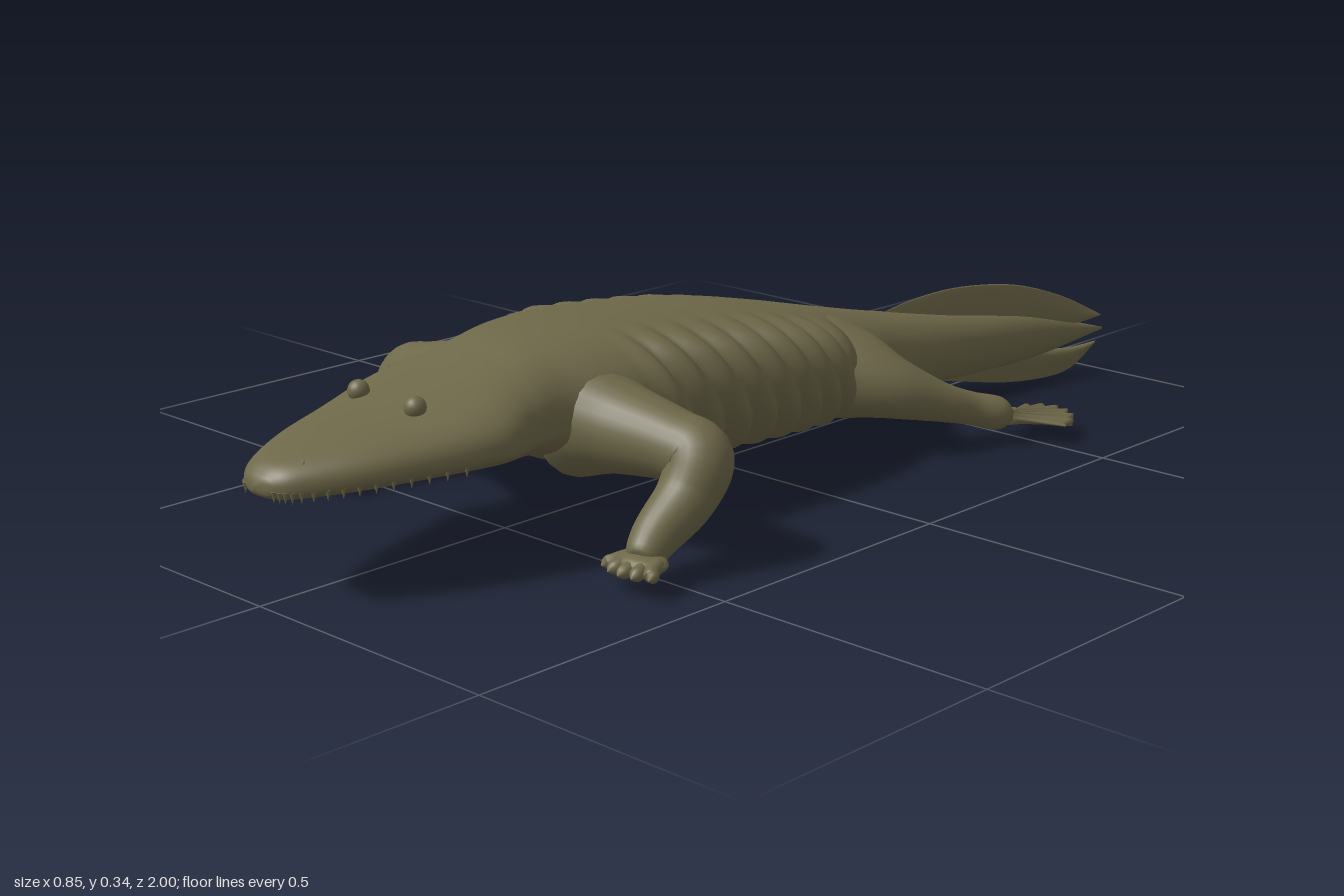
import * as THREE from 'three';

const skin = new THREE.MeshStandardMaterial({ name: 'olive skin', color: 0x6e6849 });
const { smoothstep, lerp } = THREE.MathUtils;
const spow = (v, p) => Math.sign(v) * Math.abs(v) ** p;

// Sideways sweep of the tail
const sweep = z => 0.147 * Math.max((-z - 0.28) / 0.72, 0) ** 1.6;

// Smooth interpolation through the rows of a small table, t in 0..1
function sample(table, t) {
  const n = table.length, s = t * (n - 1), i = Math.min(Math.floor(s), n - 2), f = s - i;
  const a = table[Math.max(i - 1, 0)], b = table[i], c = table[i + 1], d = table[Math.min(i + 2, n - 1)];
  return b.map((_, k) => {
    const m0 = (c[k] - a[k]) / 2, m1 = (d[k] - b[k]) / 2, f2 = f * f, f3 = f2 * f;
    return b[k] * (2 * f3 - 3 * f2 + 1) + m0 * (f3 - 2 * f2 + f) + c[k] * (3 * f2 - 2 * f3) + m1 * (f3 - f2);
  });
}

// Closed skin over rings: point(t, angle) gives [x, y, z]
function loft(rows, cols, point) {
  const pos = [], index = [];
  for (let i = 0; i <= rows; i++)
    for (let j = 0; j < cols; j++) pos.push(...point(i / rows, (j / cols) * Math.PI * 2));
  for (let i = 0; i < rows; i++)
    for (let j = 0; j < cols; j++) {
      const k = (j + 1) % cols, a = i * cols + j, b = a + cols, c = i * cols + k, d = c + cols;
      index.push(a, b, c, c, b, d);
    }
  const g = new THREE.BufferGeometry();
  g.setAttribute('position', new THREE.Float32BufferAttribute(pos, 3));
  g.setIndex(index);
  g.computeVertexNormals();
  return g;
}

// Round limb through rows of [x, y, z, radius]
function limb(table, rows = 48, cols = 24) {
  const at = t => new THREE.Vector3(...sample(table, t).slice(0, 3));
  const rings = [];
  let n = new THREE.Vector3(0, 1, 0);
  for (let i = 0; i <= rows; i++) {
    const t = i / rows;
    const dir = at(Math.min(t + 0.01, 1)).sub(at(Math.max(t - 0.01, 0))).normalize();
    n = n.clone().addScaledVector(dir, -n.dot(dir)).normalize();
    rings.push({ c: at(t), n, b: dir.clone().cross(n), r: Math.max(sample(table, t)[3], 0) });
  }
  return loft(rows, cols, (t, a) => {
    const { c, n, b, r } = rings[Math.round(t * rows)];
    return c.clone().addScaledVector(n, r * Math.cos(a)).addScaledVector(b, -r * Math.sin(a)).toArray();
  });
}

function mirrored(g) {
  const m = g.clone().scale(-1, 1, 1), ix = m.index.array;
  for (let i = 0; i < ix.length; i += 3) [ix[i], ix[i + 1]] = [ix[i + 1], ix[i]];
  return m;
}

// Head, trunk and tail: z, half width, bottom y, widest y, top y
const BODY = [
  [1.0, 0, 0.187, 0.19, 0.193], [0.99, 0.036, 0.174, 0.19, 0.21], [0.96, 0.068, 0.168, 0.191, 0.228],
  [0.88, 0.113, 0.165, 0.196, 0.246], [0.77, 0.152, 0.163, 0.2, 0.265], [0.65, 0.186, 0.16, 0.207, 0.291],
  [0.57, 0.172, 0.154, 0.207, 0.312], [0.5, 0.168, 0.137, 0.205, 0.33], [0.42, 0.197, 0.106, 0.204, 0.336],
  [0.32, 0.212, 0.085, 0.202, 0.335], [0.16, 0.217, 0.068, 0.188, 0.321], [0, 0.213, 0.058, 0.172, 0.3],
  [-0.16, 0.188, 0.051, 0.149, 0.265], [-0.3, 0.14, 0.043, 0.131, 0.231], [-0.44, 0.094, 0.038, 0.116, 0.2],
  [-0.62, 0.057, 0.037, 0.102, 0.167], [-0.82, 0.029, 0.047, 0.093, 0.137], [-1, 0, 0.084, 0.086, 0.088],
];
function bodyPoint(t, a) {
  const [z, hw, lo, mid, hi] = sample(BODY, t);
  const c = Math.cos(a), s = Math.sin(a);
  const head = smoothstep(z, 0.5, 0.62);
  const square = smoothstep(z, -0.5, -0.2);
  let x = Math.max(hw, 0) * spow(c, lerp(1, 0.82, square));
  const y = mid + (s > 0 ? (hi - mid) * s ** lerp(1, 0.85, square) : -(mid - lo) * (-s) ** lerp(1, 0.7, head));
  // lower jaw sits slightly inside the lip
  x *= 1 - 0.06 * head * smoothstep(-s, 0.15, 0.3);
  // slanted ribs bulging along the flanks
  const ribs = smoothstep(z, -0.24, -0.12) * (1 - smoothstep(z, 0.3, 0.38)) * smoothstep(Math.abs(c), 0.3, 0.85);
  const bulge = 0.021 * ribs * (Math.abs(Math.sin(Math.PI * (z + 0.5 * (hi - y)) / 0.067)) - 0.25);
  return [sweep(z) + x + bulge * c, y + bulge * s, z];
}

// Tail fins: z, lower y, upper y
const UPPER_FIN = [
  [-0.44, 0.15, 0.19], [-0.52, 0.14, 0.207], [-0.64, 0.115, 0.217], [-0.78, 0.1, 0.204],
  [-0.9, 0.1, 0.165], [-0.995, 0.113, 0.115],
];
const LOWER_FIN = [
  [-0.55, 0.045, 0.07], [-0.65, 0.026, 0.08], [-0.77, 0.005, 0.075], [-0.87, 0.001, 0.06],
  [-0.93, 0.014, 0.056], [-0.985, 0.058, 0.061],
];
const fin = (table, up) => loft(48, 20, (t, a) => {
  const [z, lo, hi] = sample(table, t);
  const v = 0.5 + 0.5 * Math.sin(a);
  const thick = 0.015 * Math.max(Math.sin(Math.PI * t), 0) ** 0.6 * (up ? 1.2 - v : 0.2 + v);
  return [sweep(z) + thick * Math.cos(a), lerp(lo, hi, v), z];
});

const FRONT_LEG = [
  [0.08, 0.2, 0.42, 0], [0.1, 0.2, 0.42, 0.098], [0.2, 0.195, 0.414, 0.075], [0.3, 0.186, 0.403, 0.059],
  [0.35, 0.172, 0.4, 0.057], [0.355, 0.12, 0.435, 0.05], [0.355, 0.075, 0.5, 0.04],
  [0.366, 0.047, 0.545, 0.027], [0.368, 0.043, 0.555, 0],
];
const HIND_LEG = [
  [0.04, 0.15, -0.21, 0], [0.06, 0.15, -0.21, 0.09], [0.13, 0.14, -0.238, 0.083], [0.2, 0.12, -0.27, 0.057],
  [0.25, 0.09, -0.34, 0.037], [0.272, 0.07, -0.4, 0.031], [0.3, 0.053, -0.455, 0.03], [0.312, 0.044, -0.485, 0],
];

// Webbed fan foot with raised toes
const hindFoot = () => loft(20, 120, (t, a) => {
  const w = Math.cos(a), toe = Math.abs(Math.sin(w * Math.PI * 3.5));
  const ang = 0.18 + w * 0.74;
  const r = 0.15 * Math.min(t, 0.95) * (1 - 0.25 * w * w) * (0.9 + 0.1 * toe);
  const thick = Math.sin(a) * (0.004 + 0.008 * toe) * (t < 1 ? 1.2 - 0.4 * t : 0);
  return [0.313 + r * Math.sin(ang), lerp(0.046, 0.033, t) + thick, -0.46 - r * Math.cos(ang)];
});

export function createModel() {
  const model = new THREE.Group();
  model.name = 'amphibian';
  const add = (name, geometry, parent = model) => {
    const mesh = new THREE.Mesh(geometry, skin);
    mesh.name = name;
    parent.add(mesh);
    return mesh;
  };

  add('body', loft(510, 56, bodyPoint));
  add('upperTailFin', fin(UPPER_FIN, true));
  add('lowerTailFin', fin(LOWER_FIN, false));

  // Paired limbs and face details
  const pair = (name, g) => {
    add('left' + name, g);
    add('right' + name, mirrored(g));
  };
  pair('FrontLeg', limb(FRONT_LEG));
  pair('HindLeg', limb(HIND_LEG));
  pair('HindFoot', hindFoot());
  pair('Hand', new THREE.SphereGeometry(1, 20, 12).scale(0.047, 0.017, 0.035).translate(0.367, 0.043, 0.545));
  for (let i = 0; i < 5; i++) {
    const w = (i - 2) / 2, x = 0.367 + 0.03 * w;
    pair('Toe' + (i + 1), limb([
      [x, 0.045, 0.535, 0], [x, 0.045, 0.54, 0.012], [x + 0.01 * w, 0.041, 0.565, 0.0125],
      [x + 0.019 * w, 0.037, 0.588 - 0.014 * w * w, 0.011], [x + 0.021 * w, 0.034, 0.6 - 0.016 * w * w, 0],
    ], 16, 12));
  }
  pair('Eye', new THREE.SphereGeometry(0.018, 20, 14).translate(0.069, 0.274, 0.74));
  pair('Nostril', new THREE.TorusGeometry(0.005, 0.002, 8, 14).rotateX(-0.9).translate(0.045, 0.225, 0.945));

  // Teeth along the lip
  const teeth = new THREE.Group();
  teeth.name = 'teeth';
  model.add(teeth);
  for (let i = 0; i < 15; i++)
    for (const side of [1, -1]) {
      const [x, y, z] = bodyPoint(0.06 + 0.2 * i / 14, -0.22);
      add('tooth', new THREE.ConeGeometry(0.0045, 0.018, 8).rotateX(Math.PI), teeth).position.set(side * x, y - 0.005, z);
    }
  return model;
}
